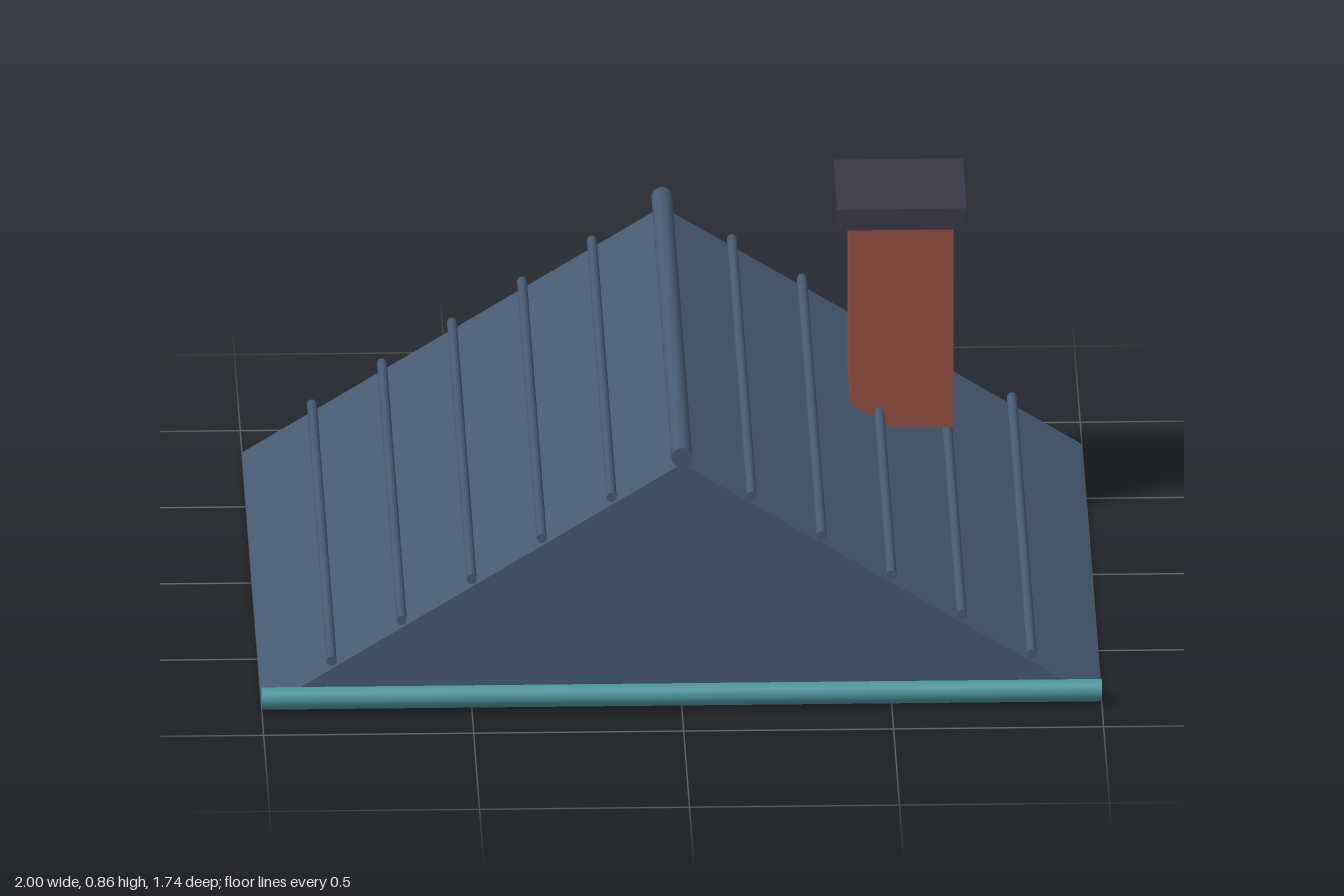
import * as THREE from 'three';

const material = (name, color) => {
  const m = new THREE.MeshStandardMaterial({ color });
  m.name = name;
  return m;
};

export function createModel() {
  const slate = material('slateBlue', 0x475a70);
  const brick = material('brickRed', 0x944e41);
  const capGrey = material('capGrey', 0x3c3947);
  const teal = material('gutterTeal', 0x4b969c);

  const model = new THREE.Group();
  model.name = 'gableRoof';

  const add = (name, geometry, mat, x, y, z) => {
    const mesh = new THREE.Mesh(geometry, mat);
    mesh.name = name;
    mesh.position.set(x, y, z);
    model.add(mesh);
    return mesh;
  };

  const eaveY = 0.005, ridgeY = 0.622;
  const back = -0.857, front = 0.832;
  const midZ = (back + front) / 2, depth = front - back;

  // Solid gable body
  const gable = new THREE.Shape([
    new THREE.Vector2(-1, eaveY),
    new THREE.Vector2(1, eaveY),
    new THREE.Vector2(0, ridgeY),
  ]);
  const body = new THREE.ExtrudeGeometry(gable, { depth, bevelEnabled: false });
  add('roofBody', body, slate, 0, 0, back);

  // Round bar running front to back
  const barZ = (radius, length, sides) =>
    new THREE.CylinderGeometry(radius, radius, length, sides).rotateX(Math.PI / 2);

  // Ridge cap
  add('ridgeCap', barZ(0.025, 1.714, 16), slate, 0, 0.643, -0.011);

  // Five seam ribs on each slope, standing just off the surface
  const rib = barZ(0.012, depth, 12);
  for (const side of [-1, 1]) {
    for (let i = 1; i <= 5; i++) {
      const x = i / 6;
      const y = eaveY + (ridgeY - eaveY) * (1 - x) + 0.019;
      add('seamRib', rib, slate, side * x, y, midZ);
    }
  }

  // Gutter pipe along the front
  const gutter = new THREE.CylinderGeometry(0.026, 0.026, 2, 16).rotateZ(Math.PI / 2);
  add('gutter', gutter, teal, 0, 0.038, 0.842);

  // Chimney stack and its cap
  add('chimneyStack', new THREE.BoxGeometry(0.245, 0.517, 0.267), brick, 0.554, 0.552, -0.369);
  add('chimneyCap', new THREE.BoxGeometry(0.307, 0.053, 0.33), capGrey, 0.554, 0.837, -0.369);

  return model;
}
